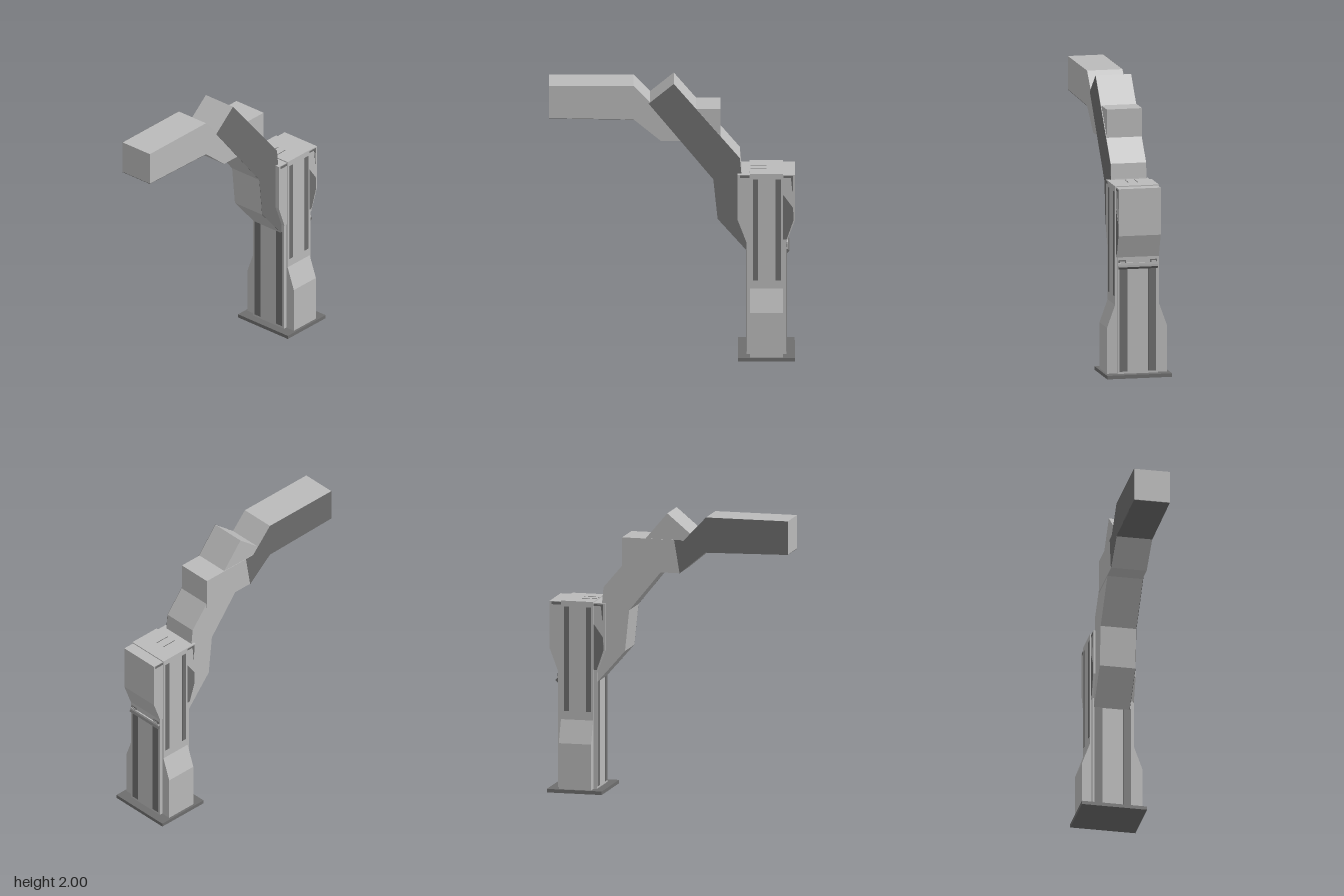
import * as THREE from 'three';

const lightGrey = new THREE.MeshStandardMaterial({ color: 0xbababa });
lightGrey.name = 'light grey';
const darkGrey = new THREE.MeshStandardMaterial({ color: 0x6e6e6e });
darkGrey.name = 'dark grey';

const toShape = (pts) => new THREE.Shape(pts.map(([x, y]) => new THREE.Vector2(x, y)));

export function createModel() {
  const model = new THREE.Group();
  model.name = 'robotArm';

  const add = (parent, name, geometry, material) => {
    const mesh = new THREE.Mesh(geometry, material);
    mesh.name = name;
    parent.add(mesh);
    return mesh;
  };
  // Box given by its minimum and maximum on each axis
  const box = (parent, name, [x0, x1], [y0, y1], [z0, z1], material) => {
    const g = new THREE.BoxGeometry(x1 - x0, y1 - y0, z1 - z0);
    g.translate((x0 + x1) / 2, (y0 + y1) / 2, (z0 + z1) / 2);
    return add(parent, name, g, material);
  };
  // Front outline extruded from z0 to z1
  const slab = (parent, name, pts, z0, z1, material) => {
    const g = new THREE.ExtrudeGeometry(toShape(pts), { depth: z1 - z0, bevelEnabled: false });
    g.translate(0, 0, z0);
    return add(parent, name, g, material);
  };

  // Tower, built around its own axis
  const tower = new THREE.Group();
  tower.name = 'tower';
  tower.position.set(0.655, 0, -0.005);
  model.add(tower);

  box(tower, 'basePlate', [-0.198, 0.198], [0, 0.025], [-0.232, 0.232], darkGrey);
  box(tower, 'towerCore', [-0.14, 0.14], [0.025, 1.33], [-0.145, 0.145], lightGrey);

  // Column with flared foot, extruded across x
  const half = [[0.215, 0.025], [0.215, 0.35], [0.157, 0.51], [0.157, 1.35]];
  const column = new THREE.ExtrudeGeometry(
    toShape([...half, ...half.slice().reverse().map(([z, y]) => [-z, y])]),
    { depth: 0.232, bevelEnabled: false });
  column.translate(0, 0, -0.116);
  column.rotateY(Math.PI / 2);
  add(tower, 'flaredColumn', column, lightGrey);

  // The two halves repeat by a half turn about the axis
  for (const turn of [0, Math.PI]) {
    const side = new THREE.Group();
    side.name = turn ? 'leftTowerHalf' : 'rightTowerHalf';
    side.rotation.y = turn;
    tower.add(side);

    slab(side, 'shoulderPod',
      [[0.1, 0.85], [0.14, 0.85], [0.2, 1.01], [0.2, 1.343], [0.1, 1.343]], -0.15, 0.15, lightGrey);
    slab(side, 'podRecessPanel',
      [[0.117, 0.87], [0.141, 0.87], [0.189, 1.01], [0.186, 1.1], [0.122, 1.19], [0.117, 1.19]],
      0.15, 0.152, darkGrey);
    slab(side, 'podTopSlit',
      [[0.183, 1.2], [0.186, 1.335], [0.118, 1.335], [0.118, 1.322], [0.17, 1.322]],
      0.15, 0.152, darkGrey);
    slab(side, 'podRearSlit',
      [[-0.185, 1.32], [-0.117, 1.32], [-0.117, 1.338], [-0.185, 1.338]], 0.15, 0.152, darkGrey);

    // Long slots on the front and on the flank
    for (const x of [-0.077, 0.082]) {
      box(side, 'columnSlot', [x - 0.018, x + 0.018], [0.57, 1.31], [0.156, 0.159], darkGrey);
    }
    for (const z of [-0.102, 0.102]) {
      box(side, 'flankSlot', [0.139, 0.142], [0.04, 0.79], [z - 0.028, z + 0.028], darkGrey);
    }
  }

  // Clip bar on the outer flank
  const bar = box(tower, 'clipBar', [-0.012, 0.012], [-0.012, 0.012], [-0.14, 0.14], darkGrey);
  bar.rotation.z = Math.PI / 4;
  bar.position.set(0.145, 0.782, 0);
  box(tower, 'clipRail', [0.13, 0.15], [0.792, 0.81], [-0.14, 0.14], lightGrey);
  for (const z of [-0.112, 0.112]) {
    box(tower, 'clipBracket', [0.13, 0.146], [0.81, 0.83], [z - 0.025, z + 0.025], darkGrey);
    box(tower, 'clipBracketFace', [0.14, 0.148], [0.81, 0.822], [z - 0.017, z + 0.017], lightGrey);
  }

  // Top cover plate, outlined by a thin slot
  for (const z of [-0.033, 0.033]) {
    box(tower, 'topSlot', [-0.11, 0], [1.35, 1.352], [z - 0.002, z + 0.002], darkGrey);
  }

  // Lower arm, leaning out from the tower
  const lowerArm = new THREE.Group();
  lowerArm.name = 'lowerArm';
  model.add(lowerArm);
  const lowerOutline = [[0.01, 2], [-0.165, 1.855], [0.285, 1.3], [0.315, 1.01],
    [0.515, 0.78], [0.56, 0.85], [0.48, 1.35], [0.47, 1.455]];
  slab(lowerArm, 'lowerArmBody', lowerOutline, -0.14, 0.113, lightGrey);
  slab(lowerArm, 'lowerArmFrontPanel', lowerOutline, 0.113, 0.115, darkGrey);

  // Forearm with elbow block
  const forearm = new THREE.Group();
  forearm.name = 'forearm';
  model.add(forearm);
  slab(forearm, 'forearmBody',
    [[-0.86, 1.985], [-0.86, 1.75], [-0.27, 1.738], [-0.08, 1.58], [0.335, 1.58],
      [0.335, 1.815], [-0.11, 1.815], [-0.27, 1.985]], -0.143, 0.11, lightGrey);
  slab(forearm, 'forearmBackPanel',
    [[-0.86, 1.985], [-0.86, 1.75], [-0.27, 1.738], [-0.08, 1.58], [-0.04, 1.815],
      [-0.11, 1.815], [-0.27, 1.985]], -0.145, -0.143, darkGrey);
  slab(forearm, 'forearmUnderPanel',
    [[-0.86, 1.75], [-0.86, 1.747], [-0.27, 1.735], [-0.27, 1.738]], -0.143, 0.11, darkGrey);

  return model;
}
